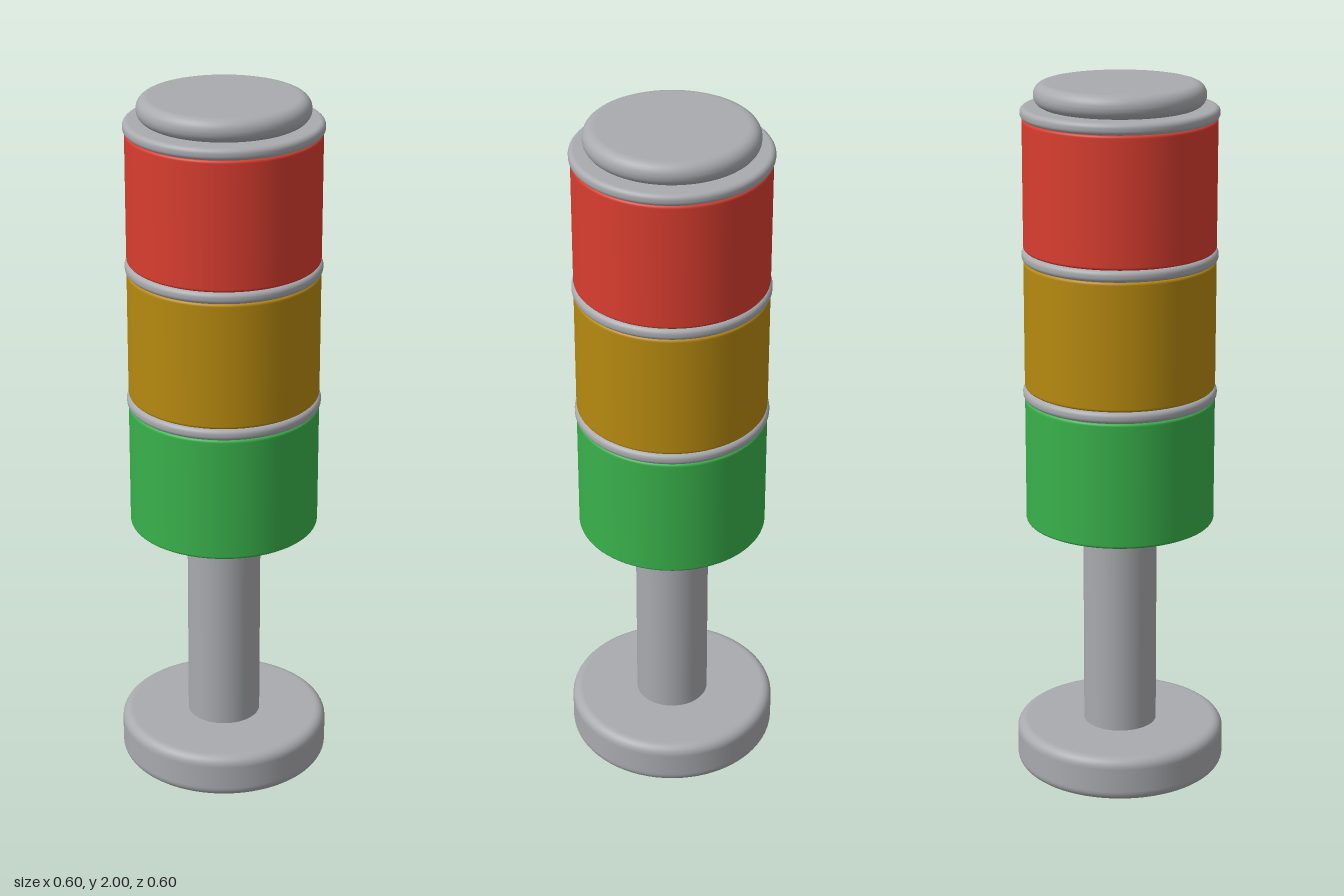
import * as THREE from 'three';

const SEGMENTS = 72;
const EASE = 0.002; // short straight run beside each fillet keeps flats crisp

const paint = (name, color) => {
  const material = new THREE.MeshStandardMaterial({ color });
  material.name = name;
  return material;
};

// Solid disc from y0 to y1 whose top and bottom rims are rounded by a fillet
function roundedDisc(name, radius, y0, y1, fillet, material) {
  const points = [new THREE.Vector2(0, y0)];
  const corner = (cy, start) => {
    for (let i = 0; i <= 8; i++) {
      const a = start + (i / 8) * Math.PI / 2;
      points.push(new THREE.Vector2(radius - fillet + fillet * Math.cos(a), cy + fillet * Math.sin(a)));
    }
  };
  points.push(new THREE.Vector2(radius - fillet - EASE, y0));
  corner(y0 + fillet, -Math.PI / 2);
  if (y1 - y0 > 2 * fillet + 2 * EASE) {
    points.push(new THREE.Vector2(radius, y0 + fillet + EASE));
    points.push(new THREE.Vector2(radius, y1 - fillet - EASE));
  }
  corner(y1 - fillet, 0);
  points.push(new THREE.Vector2(radius - fillet - EASE, y1));
  points.push(new THREE.Vector2(0, y1));
  const mesh = new THREE.Mesh(new THREE.LatheGeometry(points, SEGMENTS), material);
  mesh.name = name;
  return mesh;
}

export function createModel() {
  const group = new THREE.Group();
  group.name = 'signalTower';
  const grey = paint('grey metal', 0xa9aaae);
  const green = paint('green lens', 0x39b14b);
  const amber = paint('amber lens', 0xb6890f);
  const red = paint('red lens', 0xd93d2f);

  // Foot and pole
  group.add(roundedDisc('base', 0.3, 0, 0.13, 0.028, grey));
  const pole = new THREE.Mesh(new THREE.CylinderGeometry(0.105, 0.105, 0.645, SEGMENTS), grey);
  pole.name = 'pole';
  pole.position.y = 0.4425;
  group.add(pole);

  // Stacked lenses, each topped by a thin ring
  [['green', green], ['amber', amber], ['red', red]].forEach(([label, material], i) => {
    const y = 0.754 + i * 0.394;
    group.add(roundedDisc(label + 'Lens', 0.267, y, y + 0.362, 0.008, material));
    group.add(roundedDisc(label + 'Ring', 0.272, y + 0.361, y + 0.394, 0.014, grey));
  });

  // Top cap
  group.add(roundedDisc('cap', 0.235, 1.935, 2, 0.031, grey));
  return group;
}
